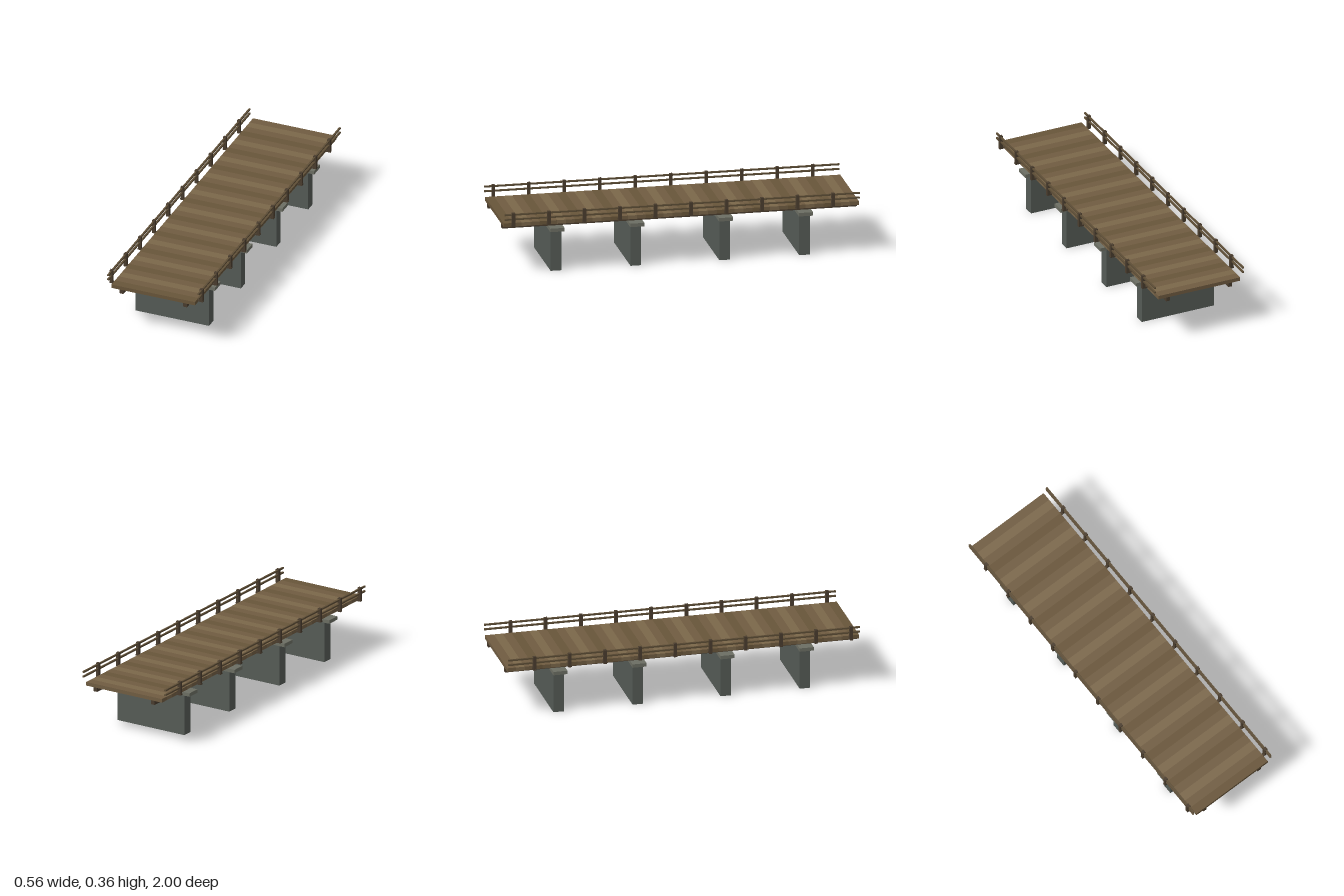
import * as THREE from 'three';

const mat = (color) => new THREE.MeshStandardMaterial({ color });
const timber = mat(0x4a3d2e);
const railWood = mat(0x5e4e36);
const concrete = mat(0x555b56);
const capStone = mat(0x6c6e63);
const plankTones = [0x705c41, 0x7b674a, 0x705c41, 0x685539].map(mat);

function addBox(parent, name, material, size, position) {
  const mesh = new THREE.Mesh(new THREE.BoxGeometry(...size), material);
  mesh.name = name;
  mesh.position.set(...position);
  parent.add(mesh);
  return mesh;
}

function addGroup(parent, name) {
  const group = new THREE.Group();
  group.name = name;
  parent.add(group);
  return group;
}

export function createModel() {
  const bridge = new THREE.Group();
  bridge.name = 'footbridge';

  // Wall piers, each with a wider cap
  const piers = addGroup(bridge, 'piers');
  for (const z of [-0.7, -0.25, 0.25, 0.7]) {
    addBox(piers, 'pier', concrete, [0.44, 0.236, 0.06], [0, 0.118, z]);
    addBox(piers, 'pierCap', capStone, [0.52, 0.02, 0.08], [0, 0.246, z]);
  }

  // Deck of cross planks in repeating wood tones
  const deck = addGroup(bridge, 'deck');
  const count = 40;
  const pitch = 2 / count;
  for (let i = 0; i < count; i++) {
    addBox(deck, 'plank', plankTones[i % 4], [0.5, 0.021, pitch], [0, 0.2895, -1 + pitch * (i + 0.5)]);
  }

  // Beams and railings, the same on both sides
  for (const side of [-1, 1]) {
    addBox(bridge, 'beam', timber, [0.024, 0.024, 2], [side * 0.19, 0.268, 0]);

    const railing = addGroup(bridge, side > 0 ? 'leftRailing' : 'rightRailing');
    for (let i = 0; i < 10; i++) {
      const z = -0.85 + i * 0.2;
      addBox(railing, 'post', timber, [0.018, 0.08, 0.018], [side * 0.27, 0.323, z]);
      // Short bracket tying the post to the deck edge
      addBox(railing, 'postBracket', timber, [0.04, 0.008, 0.018], [side * 0.26, 0.287, z]);
    }
    for (const y of [0.327, 0.354]) {
      addBox(railing, 'rail', railWood, [0.01, 0.009, 2], [side * 0.27, y, 0]);
    }
  }

  return bridge;
}
